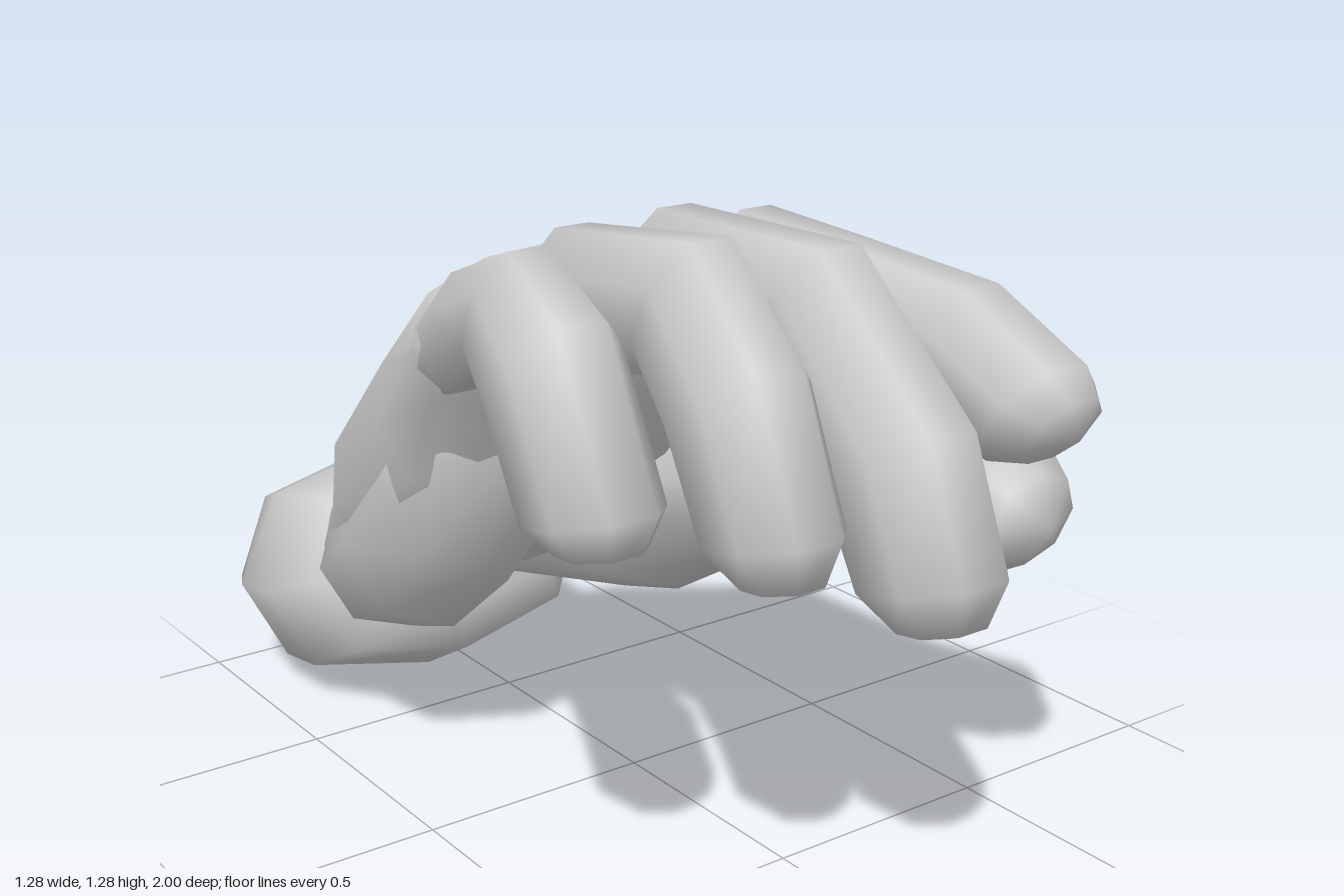
import * as THREE from 'three';
import { toCreasedNormals } from 'three/addons/utils/BufferGeometryUtils.js';

const material = new THREE.MeshStandardMaterial({ color: 0xcccccc });

// One cross-section: centre x, half width, top and bottom points as [y, z].
const ring = (x, rx, top, bottom) => ({ x, rx, top, bottom });

// Skin the cross-sections with an n-sided tube and close its far end at tip.
// power < 1 squares the section off; turn rotates its corners.
function loft(name, rings, tip, { n = 8, power = 1, turn = 0 } = {}) {
  const positions = [], index = [];
  const soft = (v) => Math.sign(v) * Math.pow(Math.abs(v), power);
  const grow = turn ? 1 / Math.cos(Math.PI / n) : 1;
  for (const { x, rx, top, bottom } of rings) {
    for (let i = 0; i < n; i++) {
      const a = (i / n) * Math.PI * 2 + turn;
      const c = soft(Math.cos(a)) * grow, s = soft(Math.sin(a)) * grow;
      positions.push(
        x + rx * c,
        (top[0] + bottom[0]) / 2 + ((top[0] - bottom[0]) / 2) * s,
        (top[1] + bottom[1]) / 2 + ((top[1] - bottom[1]) / 2) * s
      );
    }
  }
  for (let r = 0; r < rings.length - 1; r++) {
    for (let i = 0; i < n; i++) {
      const j = (i + 1) % n, a = r * n, b = a + n;
      index.push(a + i, a + j, b + j, a + i, b + j, b + i);
    }
  }
  // End cap
  const base = (rings.length - 1) * n;
  positions.push(...tip);
  for (let i = 0; i < n; i++) index.push(base + i, base + ((i + 1) % n), rings.length * n);

  const geometry = new THREE.BufferGeometry();
  geometry.setAttribute('position', new THREE.Float32BufferAttribute(positions, 3));
  geometry.setIndex(index);
  const mesh = new THREE.Mesh(toCreasedNormals(geometry, 1.15), material);
  mesh.name = name;
  return mesh;
}

// Finger from knuckle to rounded end, with a root sunk into the palm.
function finger(name, rings, tip) {
  const { x, top, bottom } = rings[0];
  const root = ring(x * 0.94, 0.08, [top[0] - 0.155, top[1] - 0.19], [bottom[0] - 0.04, bottom[1] - 0.14]);
  return loft(name, [root, ...rings], tip, { turn: Math.PI / 8 });
}

export function createModel() {
  const group = new THREE.Group();
  group.name = 'glovedHand';

  // Cuff: hollow cone inside, rounded rim, bulging outside
  group.add(loft('cuff', [
    ring(-0.115, 0.02, [0.38, -0.62], [0.34, -0.61]),
    ring(-0.115, 0.27, [0.41, -1.0], [0.07, -0.9]),
    ring(-0.115, 0.35, [0.465, -0.965], [0.025, -0.86]),
    ring(-0.115, 0.395, [0.53, -0.82], [0.0, -0.81]),
    ring(-0.115, 0.395, [0.555, -0.72], [0.02, -0.67]),
    ring(-0.12, 0.35, [0.56, -0.62], [0.13, -0.48]),
    ring(-0.12, 0.29, [0.52, -0.6], [0.24, -0.46]),
  ], [-0.12, 0.38, -0.52], { power: 0.85 }));

  // Palm: slab rising from the wrist to the knuckles
  group.add(loft('palm', [
    ring(-0.12, 0.29, [0.48, -0.64], [0.32, -0.56]),
    ring(-0.12, 0.32, [0.56, -0.56], [0.33, -0.48]),
    ring(-0.15, 0.39, [0.795, -0.38], [0.45, -0.17]),
    ring(-0.155, 0.405, [1.03, -0.12], [0.68, 0.03]),
    ring(-0.155, 0.41, [1.2, 0.1], [0.87, 0.09]),
    ring(-0.155, 0.39, [1.18, 0.17], [0.93, 0.13]),
  ], [-0.15, 1.05, 0.16], { n: 12, power: 0.72 }));

  // Heel of the palm, opposite the thumb
  group.add(loft('heelOfPalm', [
    ring(-0.28, 0.16, [0.46, -0.56], [0.27, -0.48]),
    ring(-0.31, 0.2, [0.6, -0.46], [0.265, -0.38]),
    ring(-0.33, 0.21, [0.74, -0.34], [0.34, -0.18]),
    ring(-0.34, 0.205, [0.88, -0.18], [0.52, -0.02]),
    ring(-0.34, 0.19, [0.98, -0.06], [0.76, 0.06]),
  ], [-0.34, 0.92, 0.04]));

  // Thumb with the mound at its base
  group.add(loft('thumb', [
    ring(0.02, 0.19, [0.48, -0.56], [0.3, -0.48]),
    ring(0.15, 0.25, [0.78, -0.26], [0.295, -0.24]),
    ring(0.175, 0.27, [0.88, -0.07], [0.335, -0.08]),
    ring(0.31, 0.175, [0.83, 0.1], [0.46, 0.1]),
    ring(0.415, 0.14, [0.79, 0.34], [0.54, 0.33]),
    ring(0.48, 0.158, [0.805, 0.58], [0.51, 0.56]),
    ring(0.465, 0.11, [0.755, 0.68], [0.56, 0.65]),
  ], [0.465, 0.65, 0.715]));

  // Fingers: knuckle, bend, lower segment, rounded end
  group.add(finger('indexFinger', [
    ring(0.175, 0.09, [1.215, 0.16], [0.95, 0.14]),
    ring(0.195, 0.095, [1.195, 0.42], [0.955, 0.4]),
    ring(0.22, 0.11, [1.165, 0.73], [0.92, 0.64]),
    ring(0.235, 0.115, [1.06, 0.93], [0.87, 0.8]),
    ring(0.245, 0.075, [1.01, 0.965], [0.88, 0.875]),
  ], [0.25, 0.935, 0.955]));
  group.add(finger('middleFinger', [
    ring(-0.03, 0.095, [1.245, 0.17], [0.97, 0.14]),
    ring(-0.02, 0.11, [1.25, 0.63], [0.98, 0.5]),
    ring(-0.005, 0.125, [0.98, 0.91], [0.84, 0.64]),
    ring(0, 0.125, [0.74, 1.0], [0.68, 0.74]),
    ring(0, 0.08, [0.65, 0.975], [0.625, 0.83]),
  ], [0, 0.62, 0.92]));
  group.add(finger('ringFinger', [
    ring(-0.255, 0.09, [1.235, 0.16], [0.97, 0.14]),
    ring(-0.26, 0.105, [1.285, 0.58], [1.03, 0.46]),
    ring(-0.27, 0.118, [1.1, 0.78], [0.95, 0.56]),
    ring(-0.27, 0.115, [0.84, 0.89], [0.79, 0.65]),
    ring(-0.27, 0.07, [0.755, 0.87], [0.735, 0.73]),
  ], [-0.27, 0.725, 0.8]));
  group.add(finger('littleFinger', [
    ring(-0.47, 0.09, [1.18, 0.15], [0.95, 0.13]),
    ring(-0.495, 0.095, [1.265, 0.38], [1.03, 0.29]),
    ring(-0.52, 0.115, [1.18, 0.58], [0.97, 0.41]),
    ring(-0.525, 0.115, [0.89, 0.73], [0.84, 0.5]),
    ring(-0.525, 0.075, [0.82, 0.71], [0.805, 0.57]),
  ], [-0.525, 0.795, 0.64]));

  return group;
}
